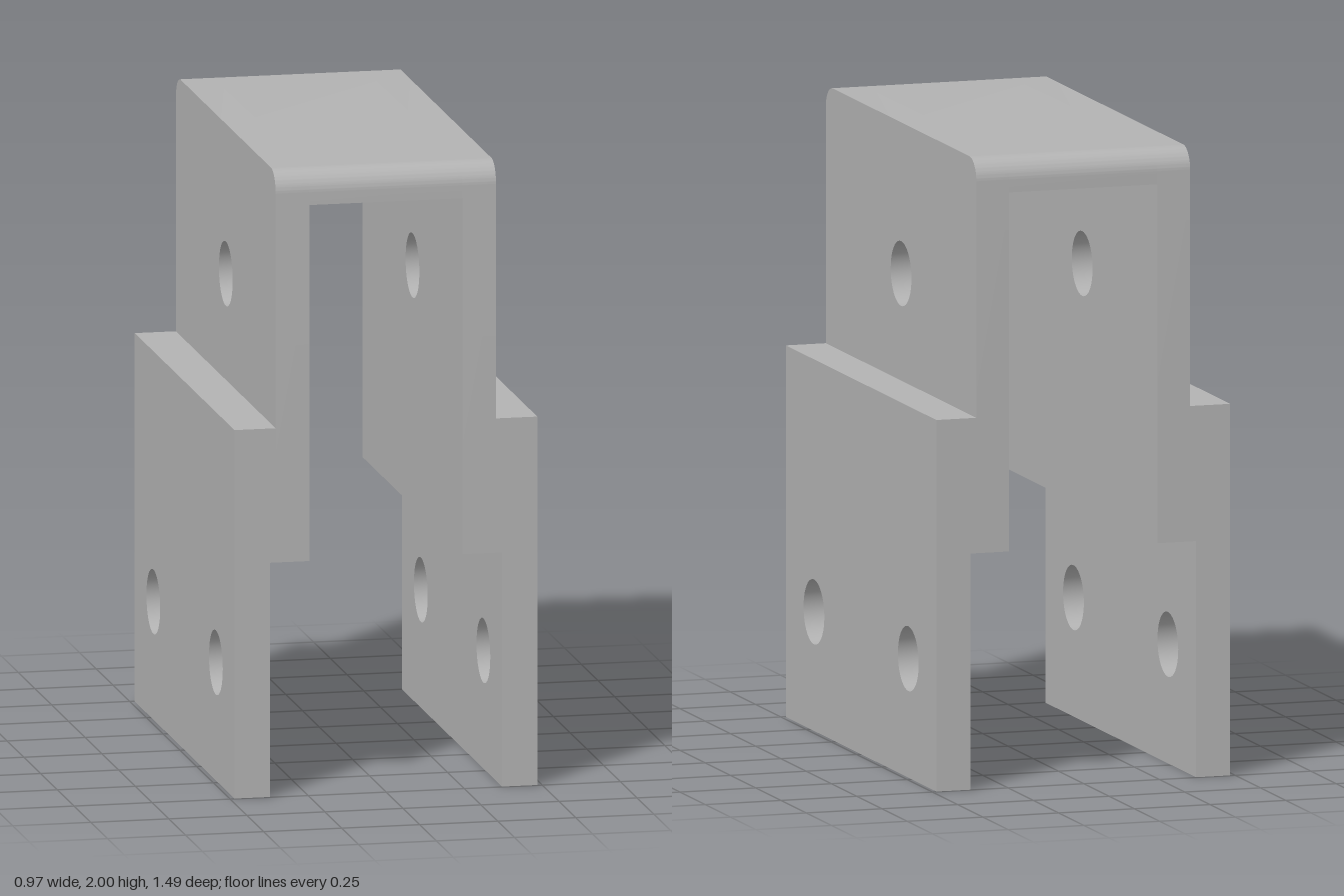
import * as THREE from 'three';
import { toCreasedNormals } from 'three/addons/utils/BufferGeometryUtils.js';

const HALF_DEPTH = 0.745;
const HOLE_RADIUS = 0.103;

// Side outline in z and y, with rounded top corners and round holes
function plateShape(y0, y1, radius, holes = []) {
  const d = HALF_DEPTH;
  const s = new THREE.Shape();
  s.moveTo(-d, y0);
  s.lineTo(d, y0);
  s.lineTo(d, y1 - radius);
  if (radius) s.absarc(d - radius, y1 - radius, radius, 0, Math.PI / 2, false);
  s.lineTo(-d + radius, y1);
  if (radius) s.absarc(-d + radius, y1 - radius, radius, Math.PI / 2, Math.PI, false);
  s.closePath();
  for (const [z, y] of holes) {
    const hole = new THREE.Path();
    hole.absarc(z, y, HOLE_RADIUS, 0, Math.PI * 2, true);
    s.holes.push(hole);
  }
  return s;
}

// Extrude an outline sideways from x0 to x1
function plate(name, shape, x0, x1, material) {
  const geometry = new THREE.ExtrudeGeometry(shape, {
    depth: x1 - x0, bevelEnabled: false, curveSegments: 20,
  });
  geometry.rotateY(Math.PI / 2);
  geometry.translate(x0, 0, 0);
  const mesh = new THREE.Mesh(toCreasedNormals(geometry, 0.6), material);
  mesh.name = name;
  return mesh;
}

export function createModel() {
  const group = new THREE.Group();
  group.name = 'mountingBracket';
  const grey = new THREE.MeshStandardMaterial({ color: 0xb2b2b2 });
  grey.name = 'bracketGrey';

  const upper = plateShape(0.75, 2, 0.07, [[0, 1.52]]);
  const step = plateShape(0.75, 1.18, 0);
  const lower = plateShape(0, 1.18, 0, [[-0.467, 0.378], [0.467, 0.378]]);

  // Mirrored walls: upper plate, step joining the two, lower plate
  for (const [side, sign] of [['left', 1], ['right', -1]]) {
    const add = (part, shape, a, b) => {
      const [x0, x1] = sign > 0 ? [a, b] : [-b, -a];
      group.add(plate(side + part, shape, x0, x1, grey));
    };
    add('UpperPlate', upper, 0.245, 0.353);
    add('Step', step, 0.353, 0.372);
    add('LowerPlate', lower, 0.372, 0.485);
  }

  // Top web between the upper plates
  group.add(plate('topBridge', plateShape(1.89, 2, 0.07), -0.245, 0.245, grey));
  return group;
}
